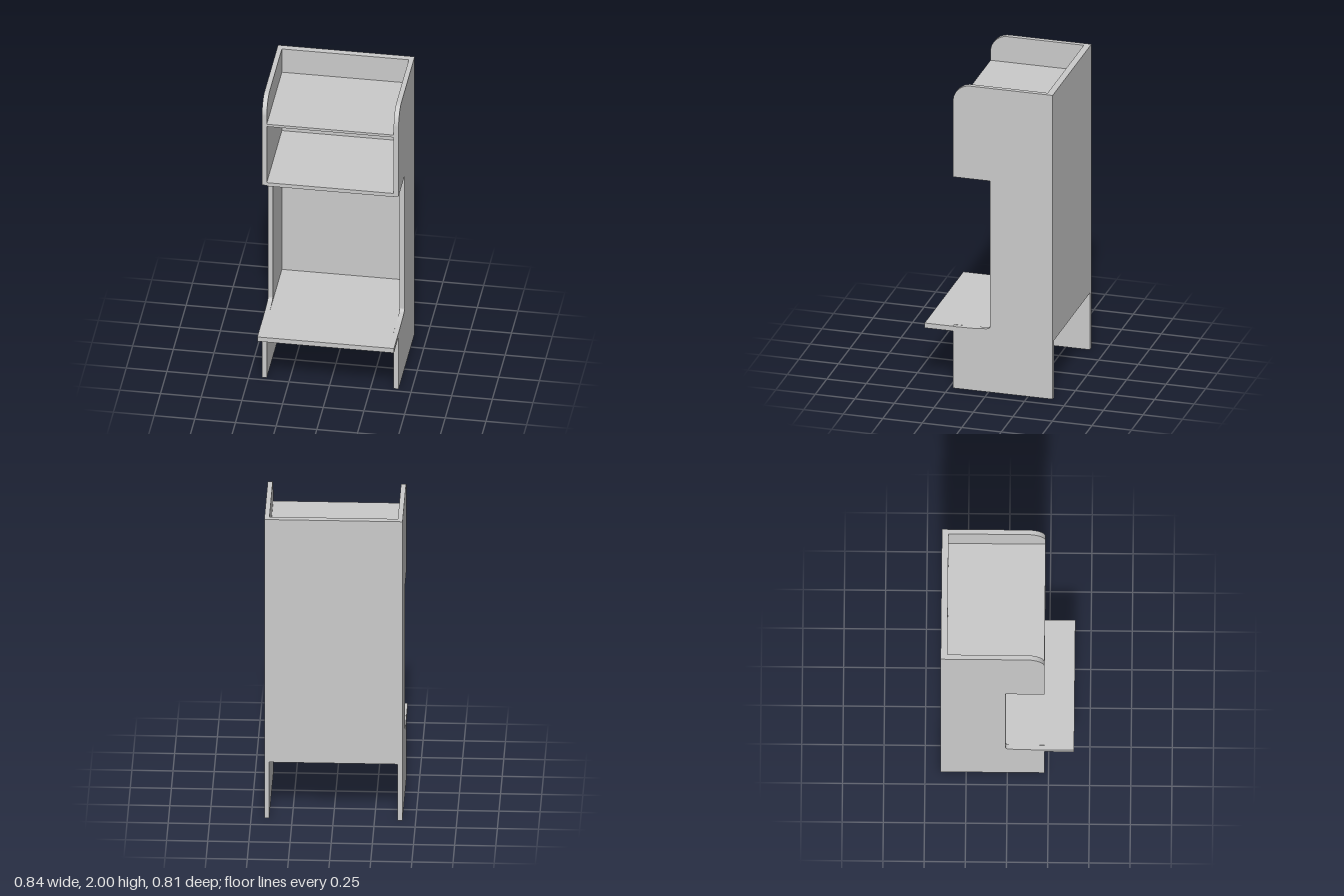
import * as THREE from 'three';

const W = 0.42, T = 0.03, IN = W - T;      // half width, panel thickness, inner half width
const BACK = -0.405, FRONT = 0.225;        // depth of the side panels
const material = new THREE.MeshStandardMaterial({ color: 0xcccccc });

export function createModel() {
  const group = new THREE.Group();

  const add = (name, geometry) => {
    const mesh = new THREE.Mesh(geometry, material);
    mesh.name = name;
    group.add(mesh);
    return mesh;
  };

  // Box given by its limits on each axis
  const box = (name, [x0, x1], [y0, y1], [z0, z1]) =>
    add(name, new THREE.BoxGeometry(x1 - x0, y1 - y0, z1 - z0))
      .position.set((x0 + x1) / 2, (y0 + y1) / 2, (z0 + z1) / 2);

  // Side panels: C-shaped outline in z and y with a rounded top front corner
  const r = 0.11;
  const side = new THREE.Shape();
  side.moveTo(BACK, 0);
  side.lineTo(FRONT, 0);
  side.lineTo(FRONT, 0.405);
  side.lineTo(0.1, 0.408);
  side.lineTo(0.02, 0.414);
  side.quadraticCurveTo(-0.01, 0.416, -0.01, 0.435);
  side.lineTo(-0.01, 1.39);
  side.lineTo(FRONT, 1.39);
  side.lineTo(FRONT, 2 - r);
  side.absarc(FRONT - r, 2 - r, r, 0, Math.PI / 2, false);
  side.lineTo(BACK, 2);
  side.closePath();
  for (const [name, outer] of [['leftSide', W], ['rightSide', -IN]]) {
    const geometry = new THREE.ExtrudeGeometry(side, { depth: T, bevelEnabled: false, curveSegments: 12 });
    geometry.rotateY(-Math.PI / 2);
    add(name, geometry).position.x = outer;
  }

  // Back panel and the two shelves of the upper compartment
  box('backPanel', [-IN, IN], [0.375, 2], [BACK, -0.365]);
  box('lowerShelf', [-IN, IN], [1.385, 1.41], [-0.365, FRONT]);
  box('upperShelf', [-IN, IN], [1.815, 1.832], [-0.365, FRONT]);

  // Bench: fits between the sides, then widens in front of them
  const outline = [
    [-IN, 0.365], [-IN, -FRONT], [-W, -FRONT], [-W, -0.405],
    [W, -0.405], [W, -FRONT], [IN, -FRONT], [IN, 0.365],
  ].map(([x, y]) => new THREE.Vector2(x, y));
  const bench = new THREE.ExtrudeGeometry(new THREE.Shape(outline), { depth: 0.032, bevelEnabled: false });
  bench.rotateX(-Math.PI / 2);
  add('bench', bench).position.y = 0.375;

  // Double coat hooks hanging below the lower shelf
  const arms = new THREE.Shape([
    [-0.077, 1.305], [-0.03, 1.277], [0.03, 1.277], [0.077, 1.305],
    [0.073, 1.315], [0.027, 1.288], [-0.027, 1.288], [-0.073, 1.315],
  ].map(([x, y]) => new THREE.Vector2(x, y)));
  for (const [name, x] of [['rightHook', -0.183], ['leftHook', 0.171]]) {
    const geometry = new THREE.ExtrudeGeometry(arms, { depth: 0.014, bevelEnabled: false });
    add(name + 'Arms', geometry).position.set(x, 0, -0.187);
    box(name + 'Stem', [x - 0.005, x + 0.005], [1.285, 1.387], [-0.186, -0.174]);
  }

  return group;
}
